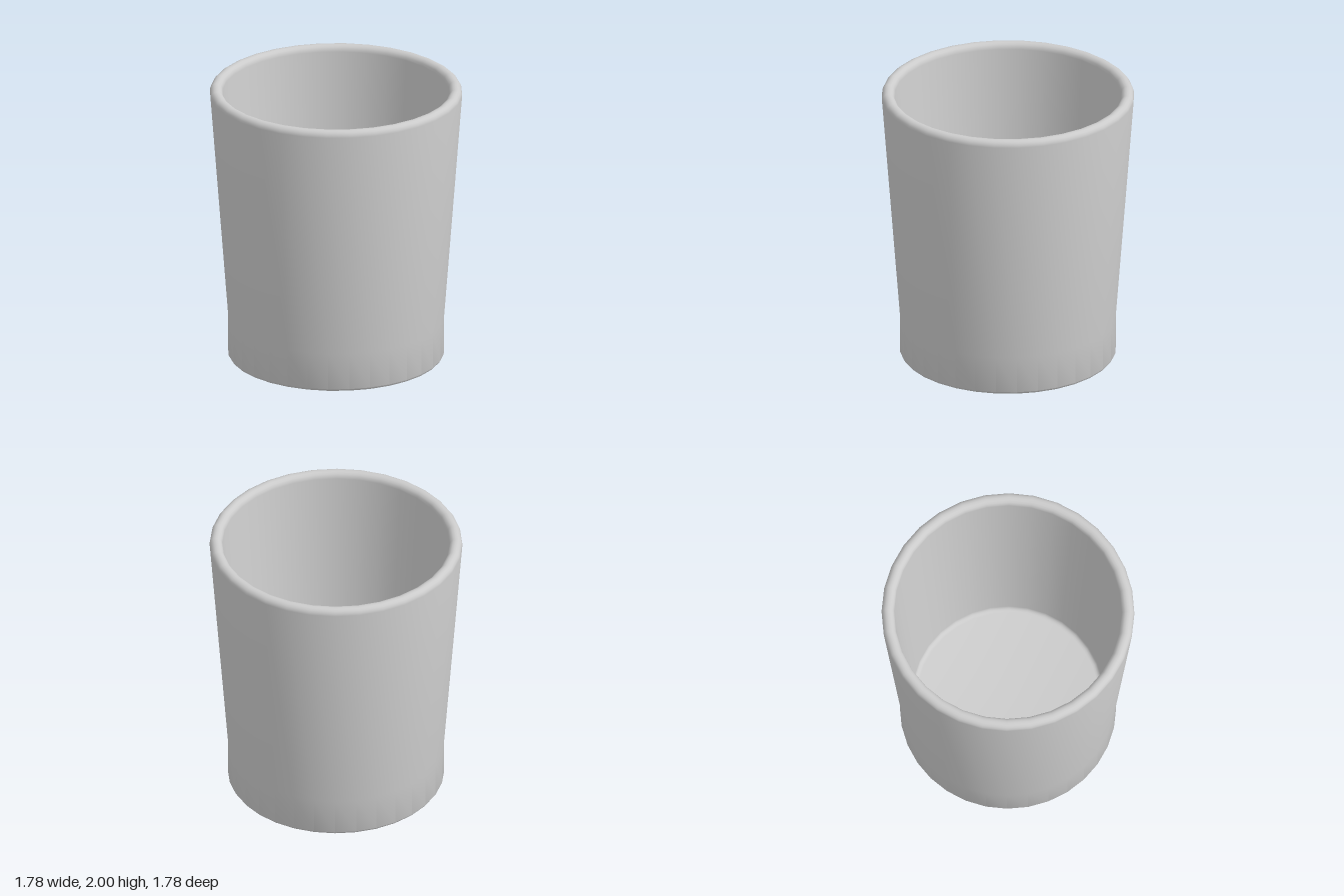
import * as THREE from 'three';
import { toCreasedNormals } from 'three/addons/utils/BufferGeometryUtils.js';

export function createModel() {
  const model = new THREE.Group();
  model.name = 'cup';
  const material = new THREE.MeshStandardMaterial({ color: 0xcccccc });
  const profile = [];
  const add = (r, y) => profile.push(new THREE.Vector2(r, y));
  // Quarter or half round, swept from angle a to angle b
  const arc = (r, y, radius, a, b, steps) => {
    for (let i = 0; i <= steps; i++) {
      const t = a + ((b - a) * i) / steps;
      add(r + radius * Math.cos(t), y + radius * Math.sin(t));
    }
  };

  // Underside and straight foot
  add(0, 0);
  add(0.75, 0);
  add(0.76, 0.015);
  add(0.76, 0.28);
  // Flared outer wall ends in a rounded rim
  arc(0.843, 1.955, 0.045, 0, Math.PI, 8);
  // Tapered inner wall, small fillet, floor
  arc(0.64, 0.23, 0.035, 0, -Math.PI / 2, 4);
  add(0, 0.195);

  const body = new THREE.Mesh(
    toCreasedNormals(new THREE.LatheGeometry(profile, 32), 0.6),
    material
  );
  body.name = 'cupBody';
  model.add(body);
  return model;
}
